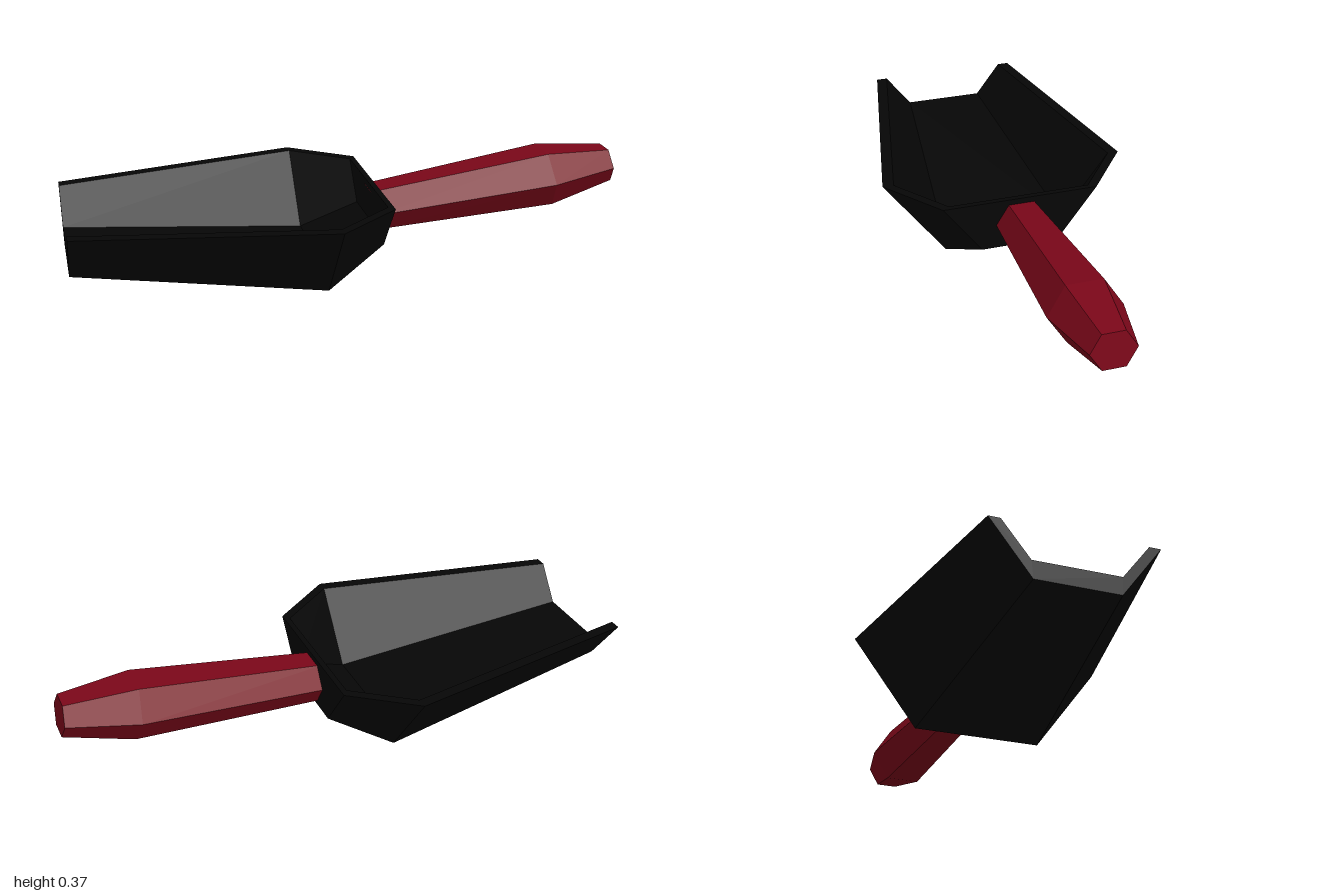
import * as THREE from 'three';

// Joins cross-sections running along +x; each ring lists [x, y, z] corners
// counter-clockwise as seen from -x. Both ends are capped.
function loft(rings) {
  const pos = [];
  const tri = (a, b, c) => pos.push(...a, ...b, ...c);
  const n = rings[0].length;
  for (let s = 0; s < rings.length - 1; s++) {
    for (let i = 0; i < n; i++) {
      const j = (i + 1) % n;
      const a = rings[s][i], b = rings[s + 1][i], c = rings[s + 1][j], d = rings[s][j];
      tri(a, b, c);
      tri(a, c, d);
    }
  }
  const cap = (ring, flip) => {
    const outline = ring.map(p => new THREE.Vector2(p[2], p[1]));
    for (const [a, b, c] of THREE.ShapeUtils.triangulateShape(outline, [])) {
      if (flip) tri(ring[a], ring[c], ring[b]);
      else tri(ring[a], ring[b], ring[c]);
    }
  };
  cap(rings[0], false);
  cap(rings[rings.length - 1], true);
  const geo = new THREE.BufferGeometry();
  geo.setAttribute('position', new THREE.Float32BufferAttribute(pos, 3));
  geo.computeVertexNormals();
  return geo;
}

const RIM = 0.303, WALL = 0.04, FLOOR = 0.063;

// Outer trapezoid: x, bottom height, half width at bottom and at rim
const outer = ([x, y, hb, ht]) => [
  [x, RIM, -ht], [x, y, -hb], [x, y, hb], [x, RIM, ht],
];

// Trapezoid hollowed from the top into a trough with a thick floor
const trough = (station) => {
  const [x, y, hb, ht] = station;
  const hi = hb + 0.004, ti = ht - WALL, yi = y + FLOOR;
  return [...outer(station), [x, RIM, ti], [x, yi, hi], [x, yi, -hi], [x, RIM, -ti]];
};

// Six-sided handle section, leaning with the handle's rise
const hexagon = ([x, y, w, h]) => Array.from({ length: 6 }, (_, i) => {
  const a = i * Math.PI / 3;
  const dy = h * Math.sin(a) / Math.sin(Math.PI / 3);
  return [x - 0.14 * dy, y + dy, w * Math.cos(a) - 0.002];
});

export function createModel() {
  const blackMetal = new THREE.MeshStandardMaterial({ color: 0x060606 });
  blackMetal.name = 'blackMetal';
  const redGrip = new THREE.MeshStandardMaterial({ color: 0x7b0719 });
  redGrip.name = 'redGrip';

  const model = new THREE.Group();
  model.name = 'handScoop';
  const add = (name, geo, mat) => {
    const mesh = new THREE.Mesh(geo, mat);
    mesh.name = name;
    model.add(mesh);
  };

  // Open trough, widest and deepest near the handle
  const mouth = [-1, 0.117, 0.142, 0.28];
  const belly = [-0.13, 0, 0.223, 0.445];
  const heel = [0.07, 0.106, 0.149, 0.295];
  const end = [0.09, 0.117, 0.142, 0.28];
  add('scoopTrough', loft([mouth, belly, heel].map(trough)), blackMetal);

  // Wall closing the handle end
  add('scoopEndWall', loft([heel, end].map(outer)), blackMetal);

  // Handle: x, centre height, half width, half height
  add('handle', loft([
    [0.08, 0.207, 0.092, 0.073],
    [0.745, 0.271, 0.126, 0.098],
    [0.99, 0.296, 0.077, 0.06],
  ].map(hexagon)), redGrip);

  return model;
}
